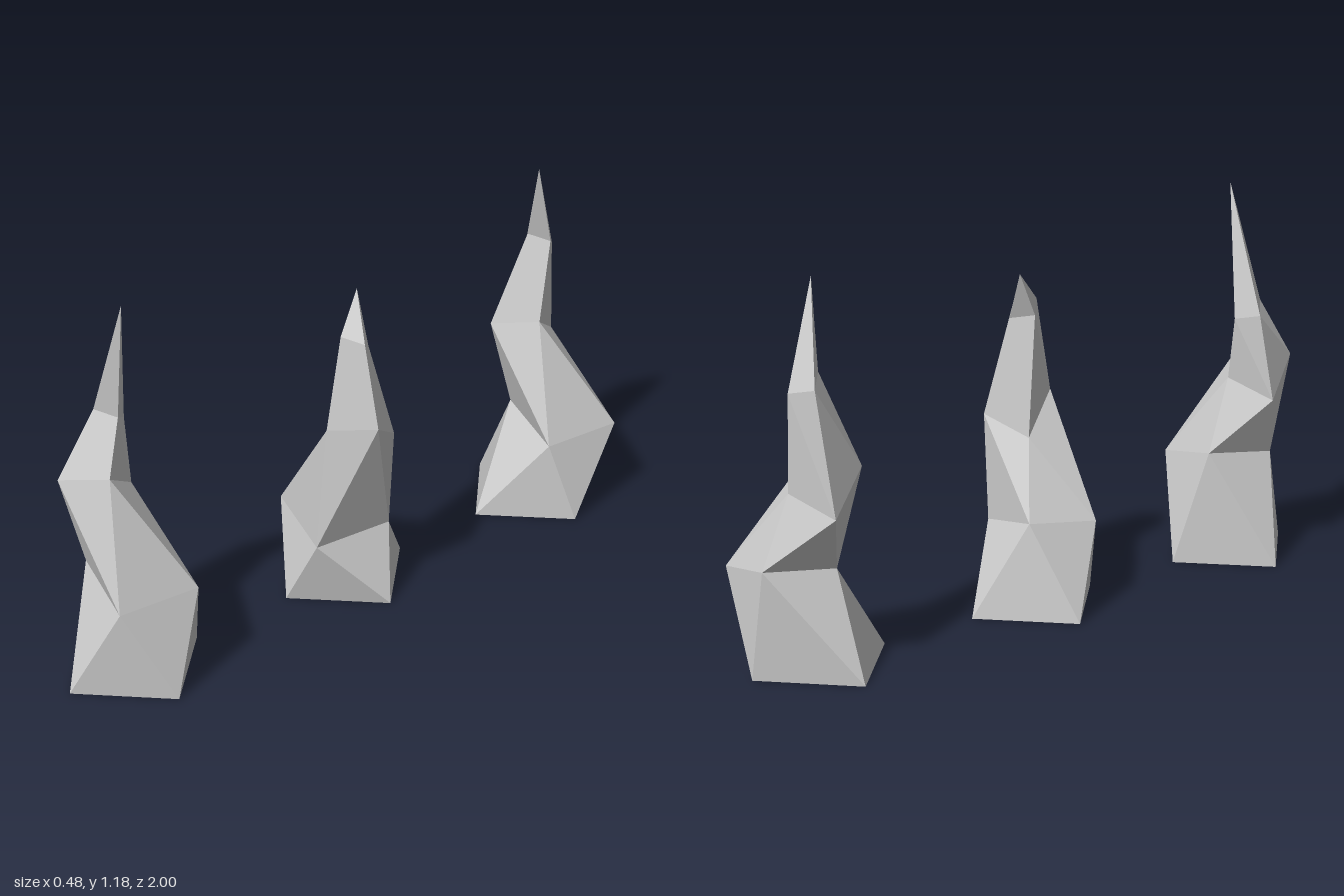
import * as THREE from 'three';

// Four-cornered cross-sections shared by all spikes, as [x, y, z] around the axis.
// Each ring is turned against the one below, so corner i joins corners i and i + 1 above.
const RINGS = [
  [[-0.225, 0, 0], [0.005, 0, 0.225], [0.225, 0, 0], [0.005, 0, -0.225]],
  [[-0.08, 0.36, -0.145], [-0.12, 0.335, 0.075], [0.115, 0.285, 0.125], [0.16, 0.305, -0.115]],
  [[-0.05, 0.58, -0.045], [-0.185, 0.525, 0.02], [-0.11, 0.635, 0.16], [0.015, 0.66, 0.07]],
  [[-0.035, 0.81, 0], [-0.08, 0.775, -0.05], [-0.145, 0.79, -0.005], [-0.095, 0.825, 0.04]],
];

// Per spike: the shift of each ring, then the tip point
const SPIKES = [
  {
    name: 'frontSpike',
    shifts: [[-0.015, 0, 0.775], [0, 0, 0.775], [0, 0, 0.775], [0, 0, 0.775]],
    tip: [0.02, 1.18, 0.785],
  },
  {
    name: 'middleSpike',
    shifts: [[-0.015, 0, -0.01], [-0.02, -0.07, 0.055], [0.222, -0.024, -0.005], [0.21, 0.075, 0.065]],
    tip: [0.06, 1.0, 0.0],
  },
  {
    name: 'backSpike',
    shifts: [[-0.015, 0, -0.775], [0.025, -0.03, -0.84], [-0.005, -0.04, -0.848], [0.01, 0.055, -0.845]],
    tip: [-0.015, 1.13, -0.775],
  },
];

// Faceted, twisted column from a closed base to a point
function spikeGeometry(shifts, tip) {
  const rings = RINGS.map((ring, r) => ring.map((p) => p.map((v, k) => v + shifts[r][k])));
  const pos = [];
  const tri = (a, b, c) => pos.push(...a, ...b, ...c);

  // base cap
  const [a, b, c, d] = rings[0];
  tri(a, d, c);
  tri(a, c, b);

  // twisted walls
  for (let r = 0; r < rings.length - 1; r++) {
    const low = rings[r], high = rings[r + 1];
    for (let i = 0; i < 4; i++) {
      const j = (i + 1) % 4;
      tri(low[i], low[j], high[j]);
      tri(low[i], high[j], high[i]);
    }
  }

  // pointed end
  const last = rings[rings.length - 1];
  for (let i = 0; i < 4; i++) tri(last[i], last[(i + 1) % 4], tip);

  const geometry = new THREE.BufferGeometry();
  geometry.setAttribute('position', new THREE.Float32BufferAttribute(pos, 3));
  geometry.computeVertexNormals();
  return geometry;
}

export function createModel() {
  const group = new THREE.Group();
  group.name = 'spikes';
  const material = new THREE.MeshStandardMaterial({ color: 0xcccccc, flatShading: true });
  for (const { name, shifts, tip } of SPIKES) {
    const mesh = new THREE.Mesh(spikeGeometry(shifts, tip), material);
    mesh.name = name;
    group.add(mesh);
  }
  return group;
}
